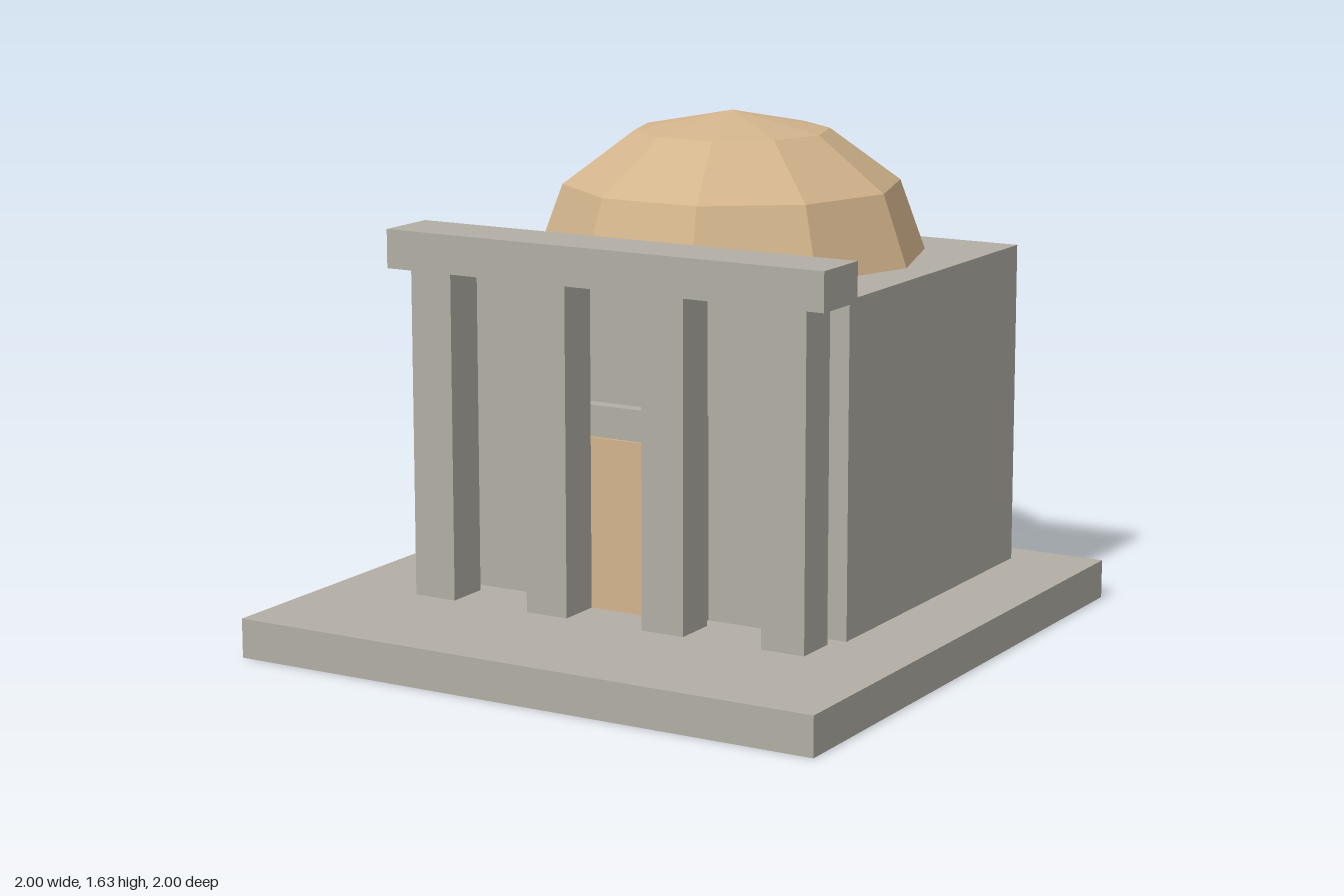
import * as THREE from 'three';

export function createModel() {
  const model = new THREE.Group();
  model.name = 'domedTemple';

  const stone = new THREE.MeshStandardMaterial({ color: 0xb2aea5 });
  stone.name = 'warm grey stone';
  const tan = new THREE.MeshStandardMaterial({ color: 0xd2b48c });
  tan.name = 'tan';

  // Box given by its limits along each axis
  function box(name, material, [x0, x1], [y0, y1], [z0, z1]) {
    const mesh = new THREE.Mesh(new THREE.BoxGeometry(x1 - x0, y1 - y0, z1 - z0), material);
    mesh.position.set((x0 + x1) / 2, (y0 + y1) / 2, (z0 + z1) / 2);
    mesh.name = name;
    model.add(mesh);
  }

  const floor = 0.125, roof = 1.17;

  // Plinth and main hall
  box('plinth', stone, [-1, 1], [0, floor], [-1, 1]);
  box('hall', stone, [-0.73, 0.73], [floor, roof], [-0.875, 0.29]);

  // Doorway: shallow surround with a thin door panel
  box('doorSurround', stone, [-0.25, 0.25], [floor, 0.77], [0.29, 0.337]);
  box('door', tan, [-0.18, 0.18], [floor, 0.67], [0.337, 0.346]);

  // Portico: four square columns and a lintel
  for (let i = 0; i < 4; i++) {
    const x = -0.626 + i * 0.416;
    box('column' + (i + 1), stone, [x - 0.073, x + 0.073], [floor, roof], [0.347, 0.493]);
  }
  box('lintel', stone, [-0.768, 0.768], [roof, 1.293], [0.314, 0.523]);

  // Faceted ten-sided dome
  const domeGeometry = new THREE.SphereGeometry(0.625, 10, 3, 0, Math.PI * 2, 0, Math.PI / 2)
    .scale(1, 0.736, 1)
    .toNonIndexed();
  domeGeometry.computeVertexNormals();
  const dome = new THREE.Mesh(domeGeometry, tan);
  dome.name = 'dome';
  dome.position.set(0, 1.166, -0.292);
  model.add(dome);

  return model;
}
